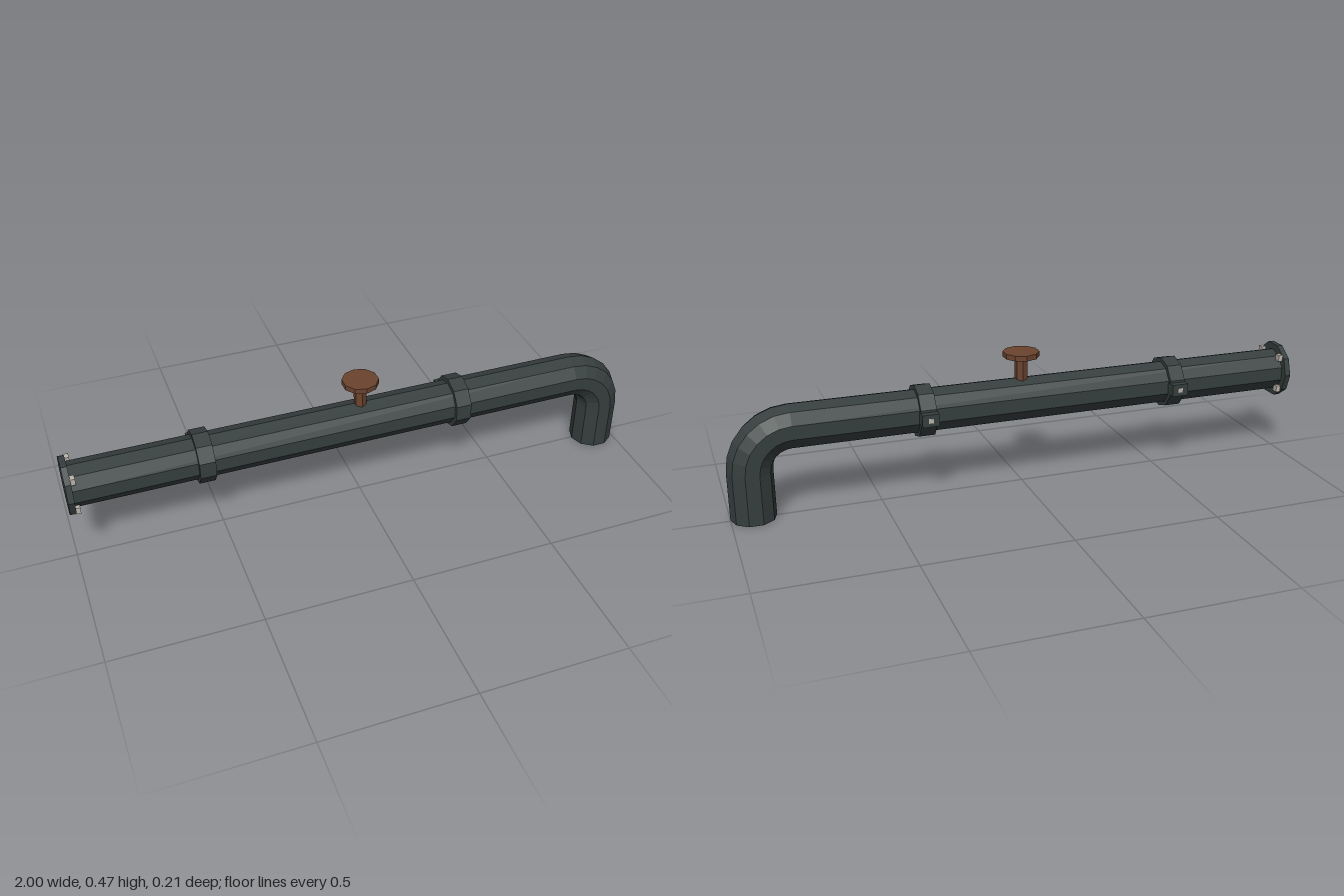
import * as THREE from 'three';

const AXIS_Y = 0.302, AXIS_Z = 0.006, SIDES = 10;

// Faceted copy: one normal per face
function faceted(geometry) {
  const g = geometry.index ? geometry.toNonIndexed() : geometry;
  g.computeVertexNormals();
  return g;
}

// Decagonal pipe swept along a straight run, a quarter bend and a drop to the ground
function pipeGeometry(radius, startX, bendX, bendRadius, bendSteps) {
  const bendY = AXIS_Y - bendRadius;
  const stations = [[startX, AXIS_Y, 0]];
  for (let i = 0; i <= bendSteps; i++) {
    const t = (i / bendSteps) * Math.PI / 2;
    stations.push([bendX + bendRadius * Math.sin(t), bendY + bendRadius * Math.cos(t), t]);
  }
  stations.push([bendX + bendRadius, 0, Math.PI / 2]);

  const point = ([x, y, t], j) => {
    const a = (j / SIDES) * Math.PI * 2, out = radius * Math.cos(a);
    return [x + out * Math.sin(t), y + out * Math.cos(t), AXIS_Z + radius * Math.sin(a)];
  };
  const positions = [];
  const tri = (a, b, c) => positions.push(...a, ...b, ...c);
  const first = stations[0], last = stations[stations.length - 1];
  for (let j = 0; j < SIDES; j++) {
    for (let i = 0; i < stations.length - 1; i++) {
      const p = point(stations[i], j), q = point(stations[i], j + 1);
      const r = point(stations[i + 1], j), s = point(stations[i + 1], j + 1);
      tri(p, q, r);
      tri(q, s, r);
    }
    tri([first[0], first[1], AXIS_Z], point(first, j + 1), point(first, j));
    tri([last[0], last[1], AXIS_Z], point(last, j), point(last, j + 1));
  }
  const g = new THREE.BufferGeometry();
  g.setAttribute('position', new THREE.Float32BufferAttribute(positions, 3));
  return faceted(g);
}

export function createModel() {
  const group = new THREE.Group();
  const material = (name, color) => {
    const m = new THREE.MeshStandardMaterial({ color });
    m.name = name;
    return m;
  };
  const iron = material('dark iron', 0x363f3e);
  const rust = material('rusty brown', 0x6b432e);
  const steel = material('pale steel', 0xbcb4ad);

  const add = (name, geometry, mat, x = 0, y = 0, z = 0) => {
    const mesh = new THREE.Mesh(geometry, mat);
    mesh.name = name;
    mesh.position.set(x, y, z);
    group.add(mesh);
    return mesh;
  };
  // Disc with its axis along x
  const ring = (name, radius, width, x, thetaStart) => {
    const g = new THREE.CylinderGeometry(radius, radius, width, SIDES, 1, false, thetaStart);
    g.rotateZ(Math.PI / 2);
    return add(name, faceted(g), iron, x, AXIS_Y, AXIS_Z);
  };

  add('pipe', pipeGeometry(0.075, -0.985, 0.79, 0.135, 6), iron);

  // End flange with four square bolts on its inner face
  ring('endFlange', 0.099, 0.02, -0.99, 0);
  for (const sy of [-1, 1]) for (const sz of [-1, 1]) {
    add('flangeBolt', new THREE.BoxGeometry(0.017, 0.023, 0.023), steel,
      -0.9735, AXIS_Y + sy * 0.058, AXIS_Z + sz * 0.058);
  }

  // Two clamps, each with a lug and a small bolt head at the back
  for (const x of [-0.552, 0.348]) {
    ring('clamp', 0.09, 0.054, x, Math.PI / 2);
    add('clampLug', new THREE.BoxGeometry(0.058, 0.042, 0.044), iron, x, 0.301, -0.082);
    add('clampBolt', new THREE.BoxGeometry(0.016, 0.016, 0.004), steel, x, 0.301, -0.1035);
  }

  // Valve: six-sided stem and a flat handwheel
  add('valveStem', faceted(new THREE.CylinderGeometry(0.022, 0.022, 0.1, 6)), rust, 0, 0.405, AXIS_Z);
  add('valveWheel', faceted(new THREE.CylinderGeometry(0.062, 0.062, 0.018, SIDES)), rust, 0, 0.461, AXIS_Z);

  return group;
}
